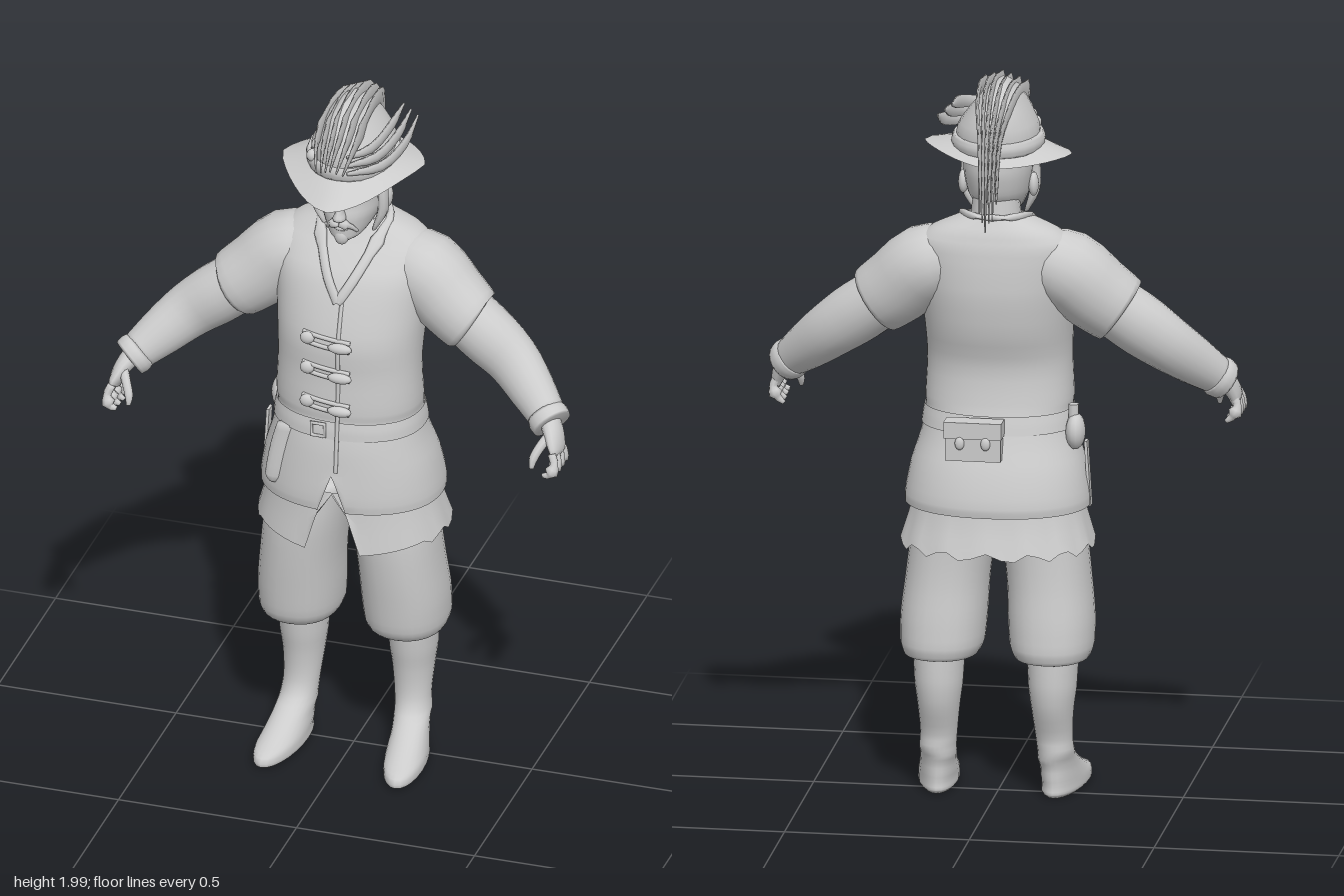
import * as THREE from 'three';

const grey = new THREE.MeshStandardMaterial({ color: 0xcccccc, side: THREE.DoubleSide });
grey.name = 'plain grey';
const V = (x, y, z) => new THREE.Vector3(x, y, z);
const AXES = { x: V(1, 0, 0), z: V(0, 0, 1) };

// Smooth skin through rings [x, y, z, r1, r2]; ref 'flat' keeps the rings level.
function loft(rings, { ref = 'flat', seg = 20, sub = 3, p = 2, open = false, warp } = {}) {
  const path = new THREE.CatmullRomCurve3(rings.map(r => V(r[0], r[1], r[2])));
  const size = new THREE.CatmullRomCurve3(rings.map(r => V(r[3], r[4], 0)));
  const n = (rings.length - 1) * sub, pos = [], idx = [];
  for (let i = 0; i <= n; i++) {
    const c = path.getPoint(i / n), s = size.getPoint(i / n);
    const T = ref === 'flat' ? V(0, 1, 0) : path.getTangent(i / n);
    const u = ref === 'flat' ? V(1, 0, 0) : T.clone().cross(AXES[ref]).normalize();
    const v = u.clone().cross(T);
    for (let j = 0; j < seg; j++) {
      const a = j / seg * Math.PI * 2, sn = Math.sin(a), cs = Math.cos(a);
      const q = c.clone()
        .addScaledVector(u, Math.sign(sn) * Math.abs(sn) ** (2 / p) * s.x)
        .addScaledVector(v, Math.sign(cs) * Math.abs(cs) ** (2 / p) * s.y);
      if (warp) warp(q, i / n, j);
      pos.push(q.x, q.y, q.z);
    }
  }
  for (let i = 0; i < n; i++) for (let j = 0; j < seg; j++) {
    const a = i * seg + j, b = i * seg + (j + 1) % seg;
    idx.push(a, b, b + seg, a, b + seg, a + seg);
  }
  if (!open) {
    const f = rings[0], l = rings[rings.length - 1], k = pos.length / 3, top = n * seg;
    pos.push(f[0], f[1], f[2], l[0], l[1], l[2]);
    for (let j = 0; j < seg; j++) {
      const m = (j + 1) % seg;
      idx.push(k, m, j, k + 1, top + j, top + m);
    }
  }
  const g = new THREE.BufferGeometry();
  g.setAttribute('position', new THREE.Float32BufferAttribute(pos, 3));
  g.setIndex(idx);
  g.computeVertexNormals();
  return g;
}
const mirror = (rings, s) => rings.map(([x, ...r]) => [s * x, ...r]);

// Jacket rings from hem to neck
const JACKET = [
  [0, 0.81, 0, 0.25, 0.2], [0, 0.835, 0, 0.25, 0.203], [0, 0.92, 0.008, 0.235, 0.19], [0, 1.0, 0.02, 0.21, 0.17],
  [0, 1.07, 0.025, 0.197, 0.152], [0, 1.1, 0.03, 0.2, 0.15], [0, 1.2, 0.033, 0.196, 0.143], [0, 1.3, 0.02, 0.2, 0.158],
  [0, 1.4, 0, 0.21, 0.152], [0, 1.48, -0.015, 0.22, 0.135], [0, 1.54, -0.035, 0.215, 0.108],
  [0, 1.58, -0.045, 0.17, 0.085], [0, 1.615, -0.045, 0.09, 0.065]];
const P = 2.2;
// Front surface of the jacket at x, y
function frontZ(x, y) {
  let i = 0;
  while (i < JACKET.length - 2 && JACKET[i + 1][1] < y) i++;
  const A = JACKET[i], B = JACKET[i + 1], t = (y - A[1]) / (B[1] - A[1]);
  const [, , cz, rx, rz] = A.map((e, k) => e + (B[k] - e) * t);
  return cz + rz * Math.max(0, 1 - Math.abs(x / rx) ** P) ** (1 / P);
}

export function createModel() {
  const model = new THREE.Group();
  const add = (name, geo, x = 0, y = 0, z = 0) => {
    const m = new THREE.Mesh(geo, grey);
    m.name = name;
    m.position.set(x, y, z);
    model.add(m);
    return m;
  };
  const ball = (name, x, y, z, a, b, c) => add(name, new THREE.SphereGeometry(1, 14, 10), x, y, z).scale.set(a, b, c);

  // Jacket with a notch at the front of the hem
  add('jacket', loft(JACKET, {
    seg: 48, p: P, open: true,
    warp: (q, t, j) => { if (j === 0 && q.y < 0.92) q.y = 0.92; },
  }));
  // Shirt tail with a ragged hem, open at the front
  add('shirtTail', loft([[0, 0.86, 0, 0.22, 0.185], [0, 0.78, -0.005, 0.24, 0.195], [0, 0.705, -0.012, 0.262, 0.21]], {
    seg: 48, p: P, open: true,
    warp: (q, t, j) => {
      const d = Math.min(j, 48 - j);
      if (d < 2) q.y = Math.max(q.y, 0.86 - d * 0.06);
      else q.y += t * (d < 9 ? -0.022 + 0.004 * (d - 2) : 0.012 * Math.sin(j * 1.9));
    },
  }));
  add('belt', loft([[0, 1.025, 0.022, 0.209, 0.167], [0, 1.05, 0.024, 0.206, 0.163], [0, 1.075, 0.025, 0.201, 0.157]],
    { seg: 48, p: P, open: true }));

  // Collar band and front seam
  for (const s of [-1, 1]) {
    const pts = [[0, 1.42], [0.035, 1.48], [0.065, 1.54], [0.085, 1.585]].map(([x, y]) =>
      [s * x, y, frontZ(x, y) + 0.002, 0.014, 0.007]);
    pts.push([s * 0.09, 1.615, -0.04, 0.012, 0.008], [s * 0.05, 1.622, -0.1, 0.01, 0.01], [0, 1.622, -0.112, 0.01, 0.01]);
    add('collar', loft(pts, { ref: 'z', seg: 8 }));
  }
  add('frontSeam', loft([0.93, 1.0, 1.1, 1.2, 1.3, 1.42].map(y => [0.012, y, frontZ(0.012, y), 0.006, 0.005]),
    { ref: 'z', seg: 6 }));

  // Toggle fastenings
  for (const y of [1.31, 1.22, 1.12]) {
    for (const k of [0, 1]) {
      const yy = y + 0.012 - k * 0.024;
      add('toggleCord', loft([-0.09, -0.05, 0, 0.045].map(x => [x, yy - x * 0.1, frontZ(x, yy) + 0.004, 0.006, 0.006]),
        { ref: 'z', seg: 6 }));
    }
    ball('toggle', 0.02, y - 0.005, frontZ(0.02, y) + 0.012, 0.034, 0.015, 0.014);
    ball('toggleKnot', -0.075, y + 0.008, frontZ(0.075, y) + 0.008, 0.02, 0.018, 0.012);
  }
  const buckle = add('beltBuckle', new THREE.TorusGeometry(0.026, 0.006, 6, 4), -0.04, 1.05, frontZ(0.04, 1.05) + 0.01);
  buckle.rotation.z = Math.PI / 4;

  // Things hung from the belt
  add('backPouch', new THREE.BoxGeometry(0.15, 0.1, 0.045), 0.04, 1.015, -0.168);
  add('backPouchFlap', new THREE.BoxGeometry(0.156, 0.045, 0.054), 0.04, 1.05, -0.168);
  for (const x of [0.005, 0.075]) ball('pouchStud', x, 1.015, -0.194, 0.013, 0.018, 0.009);
  ball('flask', -0.215, 1.02, -0.04, 0.027, 0.05, 0.042);
  add('flaskNeck', new THREE.CylinderGeometry(0.014, 0.014, 0.04, 10), -0.21, 1.075, -0.04);
  add('strap', new THREE.BoxGeometry(0.008, 0.18, 0.03), -0.243, 0.895, 0.0).rotation.z = -0.06;
  add('sheath', loft([[-0.178, 0.85, 0.15, 0.012, 0.008], [-0.175, 0.87, 0.152, 0.026, 0.012],
    [-0.155, 0.97, 0.148, 0.03, 0.014], [-0.14, 1.03, 0.146, 0.028, 0.014]], { seg: 12 }));

  for (const s of [-1, 1]) {
    // Sleeves, arms and cuffs
    add('shortSleeve', loft(mirror([[0.1, 1.49, -0.035, 0.08, 0.08], [0.19, 1.465, -0.03, 0.108, 0.108],
      [0.265, 1.4, -0.015, 0.105, 0.1], [0.33, 1.35, 0, 0.096, 0.09], [0.333, 1.348, 0, 0.08, 0.075]], s), { ref: 'z' }));
    add('arm', loft(mirror([[0.28, 1.385, -0.01, 0.08, 0.08], [0.37, 1.32, 0.003, 0.084, 0.078],
      [0.45, 1.26, 0.018, 0.077, 0.066], [0.52, 1.2, 0.06, 0.066, 0.058], [0.585, 1.143, 0.108, 0.05, 0.048]], s), { ref: 'z' }));
    add('cuff', loft(mirror([[0.567, 1.158, 0.095, 0.052, 0.052], [0.58, 1.147, 0.104, 0.058, 0.056],
      [0.594, 1.135, 0.114, 0.055, 0.054]], s), { ref: 'z' }));
    // Hand with four fingers and a thumb
    add('palm', loft(mirror([[0.585, 1.148, 0.11, 0.028, 0.03], [0.605, 1.118, 0.135, 0.024, 0.04],
      [0.618, 1.085, 0.155, 0.018, 0.045], [0.618, 1.07, 0.16, 0.01, 0.04]], s), { ref: 'z', seg: 14 }));
    for (let i = 0; i < 4; i++) {
      const z = 0.122 + i * 0.024, r = 0.0115;
      add('finger', loft(mirror([[0.618, 1.09, z, r, r], [0.628, 1.062, z + 0.005 * (i - 1), r, r],
        [0.616, 1.036, z + 0.009 * (i - 1), r, r], [0.598, 1.02 + 0.004 * i, z + 0.01 * (i - 1), 0.006, 0.006]], s),
      { ref: 'z', seg: 8 }));
    }
    add('thumb', loft(mirror([[0.6, 1.125, 0.15, 0.014, 0.014], [0.582, 1.1, 0.18, 0.013, 0.013],
      [0.568, 1.07, 0.2, 0.012, 0.012], [0.566, 1.045, 0.21, 0.006, 0.006]], s), { ref: 'z', seg: 8 }));

    // Breeches
    add('breeches', loft(mirror([[0.152, 0.385, -0.03, 0.07, 0.085], [0.15, 0.392, -0.02, 0.1, 0.125],
      [0.148, 0.425, -0.014, 0.113, 0.14], [0.145, 0.5, -0.005, 0.116, 0.142], [0.137, 0.6, 0.008, 0.113, 0.142],
      [0.122, 0.72, 0.015, 0.113, 0.145], [0.1, 0.84, 0.01, 0.105, 0.14]], s), { seg: 28, p: 2.2 }));
    // Boots: foot and lower leg
    add('boot', loft(mirror([[0.165, 0.003, 0.075, 0.045, 0.14], [0.165, 0.015, 0.077, 0.056, 0.155],
      [0.165, 0.035, 0.075, 0.056, 0.15], [0.164, 0.055, 0.05, 0.054, 0.125], [0.163, 0.085, 0.015, 0.05, 0.09],
      [0.16, 0.125, -0.022, 0.05, 0.063], [0.156, 0.17, -0.032, 0.05, 0.053], [0.154, 0.25, -0.045, 0.057, 0.067],
      [0.154, 0.31, -0.045, 0.065, 0.077], [0.154, 0.36, -0.042, 0.068, 0.08], [0.154, 0.42, -0.04, 0.072, 0.08]], s), {
      seg: 24, warp: q => { if (q.y < 0.12) q.x += s * q.z * 0.1; },
    }));

    // Ears, side hair, brows, eyes and moustache
    ball('ear', s * 0.095, 1.69, 0.0, 0.014, 0.033, 0.022);
    add('sideHair', loft(mirror([[0.085, 1.79, 0.03, 0.02, 0.025], [0.094, 1.72, 0.04, 0.014, 0.022],
      [0.092, 1.66, 0.035, 0.014, 0.025], [0.07, 1.605, 0.04, 0.006, 0.012]], s), { seg: 10 }));
    ball('eye', s * 0.034, 1.713, 0.108, 0.014, 0.009, 0.01);
    ball('brow', s * 0.036, 1.733, 0.113, 0.028, 0.008, 0.012);
    add('moustache', loft(mirror([[0.0, 1.656, 0.134, 0.008, 0.008], [0.025, 1.651, 0.124, 0.008, 0.008],
      [0.042, 1.625, 0.1, 0.004, 0.004]], s), { ref: 'z', seg: 8 }));
  }

  // Head
  add('neck', new THREE.CylinderGeometry(0.062, 0.075, 0.12, 18), 0, 1.61, -0.04);
  add('head', loft([[0, 1.592, 0.085, 0.02, 0.025], [0, 1.605, 0.06, 0.045, 0.06], [0, 1.63, 0.03, 0.064, 0.092],
    [0, 1.67, 0.008, 0.082, 0.115], [0, 1.71, -0.003, 0.089, 0.118], [0, 1.75, -0.003, 0.093, 0.125],
    [0, 1.82, -0.005, 0.09, 0.12]], { seg: 24 }));
  add('nose', loft([[0, 1.662, 0.125, 0.012, 0.012], [0, 1.672, 0.128, 0.018, 0.024], [0, 1.69, 0.122, 0.011, 0.022],
    [0, 1.73, 0.11, 0.008, 0.014]], { seg: 10 }));
  ball('lips', 0, 1.636, 0.116, 0.022, 0.008, 0.01);
  ball('goatee', 0, 1.606, 0.108, 0.02, 0.024, 0.016);

  // Hat brim: pointed front and back, dipping at the front
  const brim = [], steps = 32, faces = [];
  for (let i = 0; i < 4; i++) for (let j = 0; j < steps; j++) {
    const a = j / steps * Math.PI * 2, sn = Math.sin(a), cs = Math.cos(a), t = i / 3;
    const r = 0.1 + t * (0.2 / (Math.abs(sn) ** 1.4 + Math.abs(cs) ** 1.4) ** 0.714 - 0.1);
    brim.push(r * sn, 1.815 - t * (cs > 0 ? 0.025 + 0.047 * cs * cs : 0.025 + 0.01 * cs * cs) + 0.012 * t * sn,
      r * cs * (cs > 0 ? 1.17 : 0.96));
    if (i < 3) {
      const k = i * steps + j, m = i * steps + (j + 1) % steps;
      faces.push(k, k + steps, m, m, k + steps, m + steps);
    }
  }
  const brimGeo = new THREE.BufferGeometry();
  brimGeo.setAttribute('position', new THREE.Float32BufferAttribute(brim, 3));
  brimGeo.setIndex(faces);
  brimGeo.computeVertexNormals();
  add('hatBrim', brimGeo);
  add('hatBand', loft([[0, 1.795, 0, 0.122, 0.148], [0, 1.815, 0, 0.126, 0.153], [0, 1.835, 0, 0.119, 0.148]], { seg: 24 }));
  add('hatCrown', loft([[0, 1.8, 0, 0.115, 0.145], [0, 1.85, 0, 0.11, 0.148], [-0.005, 1.9, 0.0, 0.082, 0.138],
    [-0.01, 1.945, 0.0, 0.05, 0.105], [-0.012, 1.975, 0, 0.015, 0.045]], { seg: 24 }));

  // Plumes arching from front to back, each a thin blade
  for (let i = 0; i < 6; i++) {
    const x = -0.06 + i * 0.022, d = Math.abs(i - 3) * 0.008;
    add('plume', loft([[x * 0.7, 1.865 - d, 0.225 - d, 0.006, 0.002], [x, 1.925 - d, 0.14, 0.022, 0.004],
      [x, 1.97 - d, 0.01, 0.022, 0.004], [x * 0.8, 1.945 - d, -0.11, 0.026, 0.005],
      [x * 0.5, 1.85, -0.185 + d, 0.024, 0.005], [x * 0.4, 1.73, -0.205 + d, 0.02, 0.004],
      [x * 0.4, 1.61 + d * 3, -0.215 + d, 0.004, 0.002]], { ref: 'x', seg: 6 }));
  }
  // Shorter feathers sweeping round the left side
  for (let i = 0; i < 3; i++) {
    const y = i * 0.025, k = 1 - i * 0.13;
    add('sideFeather', loft([[0.03, 1.825 + y, 0.155, 0.006, 0.004], [0.11 * k, 1.835 + y, 0.1, 0.018, 0.006],
      [0.145 * k, 1.86 + y, 0, 0.02, 0.006], [0.15 * k, 1.895 + y * 0.6, -0.09, 0.005, 0.003]], { ref: 'x', seg: 6 }));
  }
  // Small ornaments on the right of the hat
  for (let i = 0; i < 3; i++) ball('hatOrnament', -0.085 + i * 0.008, 1.835 + i * 0.025, 0.1 - i * 0.02, 0.016, 0.018, 0.016);
  return model;
}
